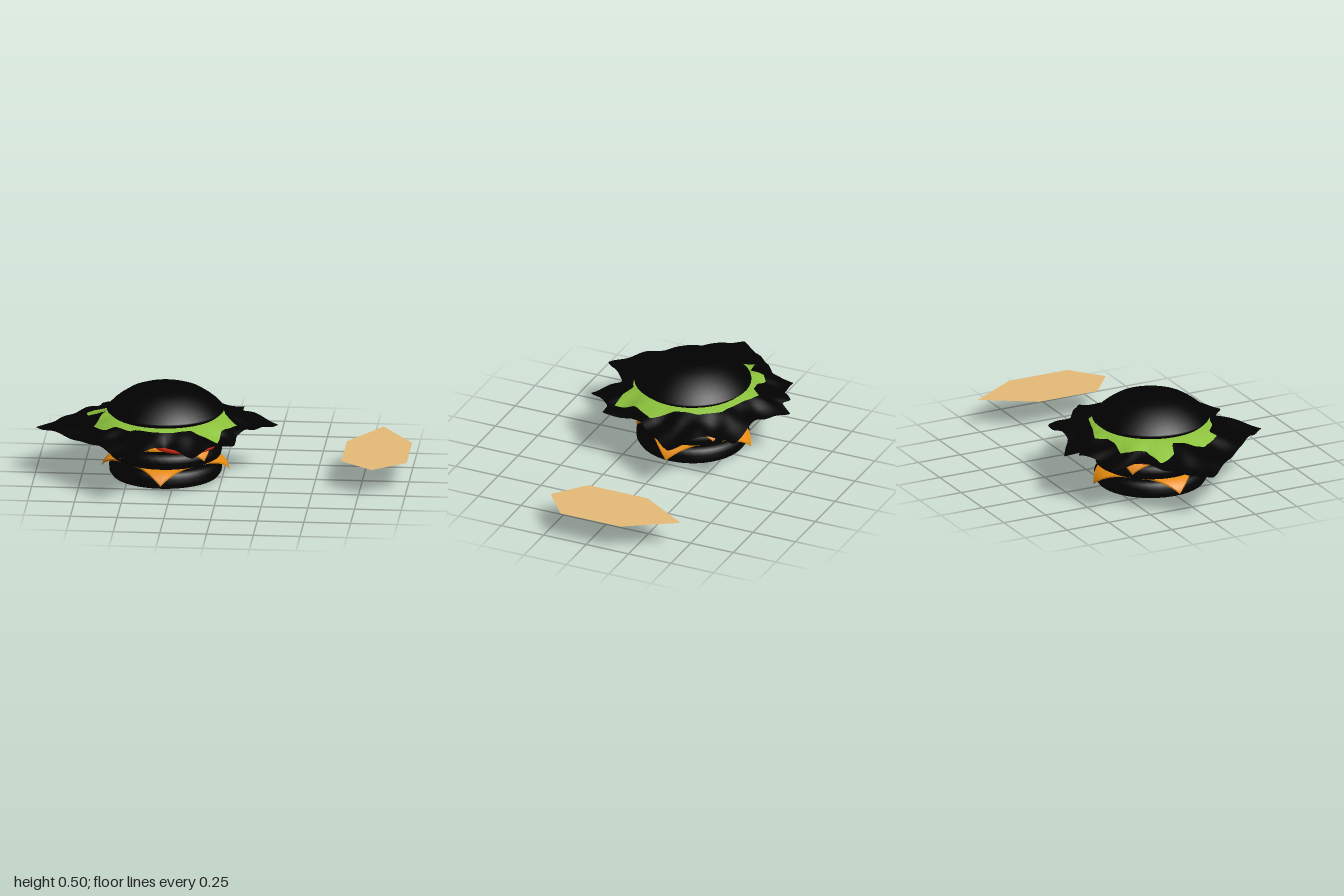
import * as THREE from 'three';

const CX = -0.305, CZ = -0.02;

function material(name, color, side = THREE.FrontSide) {
  const m = new THREE.MeshStandardMaterial({ color, side });
  m.name = name;
  return m;
}

const charcoal = material('charcoal', 0x010101);
const charcoalLeaf = material('charcoal leaf', 0x010101, THREE.DoubleSide);
const leafGreen = material('leaf green', 0x8cc23c, THREE.DoubleSide);
const cheeseOrange = material('cheese orange', 0xf09010);
const tomatoRed = material('tomato red', 0xe02c14);
const onionPurple = material('onion purple', 0xf01ca8);
const onionPale = material('onion pale', 0xe6b4d6);
const paperTan = material('paper tan', 0xeabe7a, THREE.DoubleSide);

function addMesh(parent, name, geometry, mat) {
  const mesh = new THREE.Mesh(geometry, mat);
  mesh.name = name;
  parent.add(mesh);
  return mesh;
}

// Round part turned from a radius / height profile
function turned(parent, name, profile, mat) {
  const points = profile.map(([r, y]) => new THREE.Vector2(r, y));
  return addMesh(parent, name, new THREE.LatheGeometry(points, 40), mat);
}

// Square slice whose corners bend down over the rim of the layer below
function cheeseSlice(parent, name, y, turn, drop, bulge) {
  const half = 0.253, rim = 0.262;
  const geo = new THREE.BoxGeometry(half * 2, 0.009, half * 2, 28, 1, 28);
  const p = geo.attributes.position;
  for (let i = 0; i < p.count; i++) {
    const x = p.getX(i), z = p.getZ(i), r = Math.hypot(x, z);
    const s = Math.max(0, r - rim) / (half * Math.SQRT2 - rim);
    if (s === 0) continue;
    const bent = rim + bulge * Math.sin(s * 1.4);
    p.setXYZ(i, x * bent / r, p.getY(i) - drop * Math.pow(s, 1.5), z * bent / r);
  }
  geo.computeVertexNormals();
  const mesh = addMesh(parent, name, geo, cheeseOrange);
  mesh.position.y = y;
  mesh.rotation.y = turn;
}

// Distance from the burger's axis to an outline in a given direction
function reach(outline, angle) {
  const dx = Math.cos(angle), dz = Math.sin(angle);
  let best = 0.318;
  outline.forEach(([x, z], i) => {
    const [x2, z2] = outline[(i + 1) % outline.length];
    const ax = x - CX, az = z - CZ, ex = x2 - x, ez = z2 - z;
    const det = dx * ez - dz * ex;
    if (Math.abs(det) < 1e-9) return;
    const t = (ax * ez - az * ex) / det, u = (ax * dz - az * dx) / det;
    if (u >= 0 && u <= 1 && t > best) best = t;
  });
  return best;
}

// Ruffled sheet between two radii; it sags towards the rim of the whole leaf
function leafSheet(parent, name, inner, outer, rim, lower, mat) {
  const around = 240, rings = 7, positions = [], index = [];
  for (let i = 0; i <= around; i++) {
    const a = i / around * Math.PI * 2, r0 = inner(a), r1 = outer(a), rimR = rim(a);
    for (let j = 0; j <= rings; j++) {
      const r = THREE.MathUtils.lerp(r0, r1, j / rings);
      const out = Math.max(0, r - 0.28);
      const slope = 0.352 - 0.37 * Math.min(out, 0.12) - 0.22 * Math.max(0, out - 0.12);
      const t = Math.max(0, r - 0.3) / Math.max(0.05, rimR - 0.3);
      const ruffle = THREE.MathUtils.smoothstep(r, 0.28, 0.42) *
        (0.010 * Math.sin(a * 9 + r * 12) + 0.005 * Math.sin(a * 17 - r * 20));
      const y = Math.max(0.255, slope + (0.265 - slope) * 0.4 * t * t + ruffle) - lower;
      positions.push(r * Math.cos(a), y, r * Math.sin(a));
      if (i < around && j < rings) {
        const k = i * (rings + 1) + j, n = k + rings + 1;
        index.push(k, n, k + 1, k + 1, n, n + 1);
      }
    }
  }
  const geo = new THREE.BufferGeometry();
  geo.setAttribute('position', new THREE.Float32BufferAttribute(positions, 3));
  geo.setIndex(index);
  geo.computeVertexNormals();
  addMesh(parent, name, geo, mat);
}

export function createModel() {
  const model = new THREE.Group();
  model.name = 'layeredBurger';
  const burger = new THREE.Group();
  burger.name = 'burger';
  burger.position.set(CX, 0, CZ);
  model.add(burger);

  // Dark layers
  turned(burger, 'bottomBun', [[0, 0.002], [0.17, 0.002], [0.285, 0.013], [0.3, 0.035],
    [0.302, 0.065], [0.29, 0.09], [0.27, 0.103], [0, 0.106]], charcoal);
  turned(burger, 'patty', [[0, 0.112], [0.27, 0.114], [0.295, 0.128], [0.302, 0.155],
    [0.298, 0.185], [0.275, 0.202], [0, 0.207]], charcoal);
  turned(burger, 'topBun', [[0, 0.342], [0.24, 0.344], [0.29, 0.352], [0.313, 0.372],
    [0.312, 0.379], [0.284, 0.408], [0.25, 0.436], [0.2, 0.469], [0.15, 0.488],
    [0.098, 0.503], [0, 0.505]], charcoal);

  // Cheese
  cheeseSlice(burger, 'lowerCheese', 0.112, Math.PI / 4, 0.066, 0.08);
  cheeseSlice(burger, 'upperCheese', 0.213, 0, 0.056, 0.058);

  // Four overlapping tomato slices
  [[0.12, 0.18], [0.12, -0.12], [-0.15, -0.1], [-0.155, 0.08]].forEach(([x, z], i) => {
    const slice = turned(burger, 'tomatoSlice', [[0, -0.014], [0.15, -0.014], [0.163, -0.008],
      [0.163, 0.008], [0.15, 0.014], [0, 0.014]], tomatoRed);
    slice.position.set(x, 0.233 + (i % 2) * 0.004, z);
    slice.rotation.set(-0.15 * z, 0, 0.15 * x);
  });

  // Onion slices: pale flesh inside a purple ring
  for (const [x, z, y, size] of [[0.12, 0.115, 0.26, 0.94], [-0.12, 0.13, 0.278, 0.95],
    [0.12, -0.13, 0.263, 0.95], [-0.13, -0.09, 0.271, 1.1]]) {
    const slice = new THREE.Group();
    slice.name = 'onionSlice';
    turned(slice, 'onionSkin', [[0.148, -0.008], [0.16, -0.008], [0.167, 0],
      [0.16, 0.008], [0.148, 0.008]], onionPurple);
    addMesh(slice, 'onionFlesh', new THREE.CylinderGeometry(0.149, 0.149, 0.015, 32), onionPale);
    slice.position.set(x, y, z);
    slice.rotation.set(0.3 * z, 0, -0.3 * x);
    slice.scale.set(size, 1, size);
    burger.add(slice);
  }

  // Lettuce: green heart inside a dark pointed sheet, with a dark leaf beneath
  const green = [[-0.47, -0.32], [-0.56, -0.33], [-0.6, -0.3], [-0.62, -0.21], [-0.745, -0.185],
    [-0.7, -0.08], [-0.63, -0.06], [-0.68, 0.11], [-0.605, 0.225], [-0.56, 0.2], [-0.47, 0.265],
    [-0.3, 0.27], [-0.16, 0.245], [-0.09, 0.285], [0, 0.3], [0.01, 0.18], [0.085, 0.05],
    [0.01, -0.06], [-0.02, -0.185], [-0.1, -0.29], [-0.265, -0.345], [-0.36, -0.385], [-0.41, -0.33]];
  const dark = [[-1, 0], [-0.84, -0.185], [-0.69, -0.31], [-0.68, -0.44], [-0.54, -0.45],
    [-0.45, -0.53], [-0.41, -0.495], [-0.36, -0.57], [-0.195, -0.46], [0.085, -0.44], [0.085, -0.3],
    [0.29, -0.15], [0.14, 0.07], [0.09, 0.16], [0.09, 0.33], [0.01, 0.335], [-0.12, 0.495],
    [-0.275, 0.38], [-0.475, 0.56], [-0.73, 0.285]];
  const greenReach = a => reach(green, a), darkReach = a => reach(dark, a);
  leafSheet(burger, 'lettuceHeart', () => 0.02, greenReach, darkReach, 0, leafGreen);
  leafSheet(burger, 'lettuceEdge', greenReach, darkReach, darkReach, 0, charcoalLeaf);
  leafSheet(burger, 'lettuceUnderleaf', () => 0.02, a => greenReach(a) + 0.012, darkReach, 0.008, charcoalLeaf);

  // Flat six-sided sheet lying beside the burger
  const outline = [[0.825, -0.475], [1, -0.2], [1, 0.15], [0.825, 0.29], [0.65, 0.15], [0.65, -0.2]];
  const shape = new THREE.Shape(outline.map(([x, z]) => new THREE.Vector2(x, -z)));
  const sheet = addMesh(model, 'paperSheet', new THREE.ShapeGeometry(shape), paperTan);
  sheet.rotation.x = -Math.PI / 2;
  sheet.position.y = 0.156;

  return model;
}
